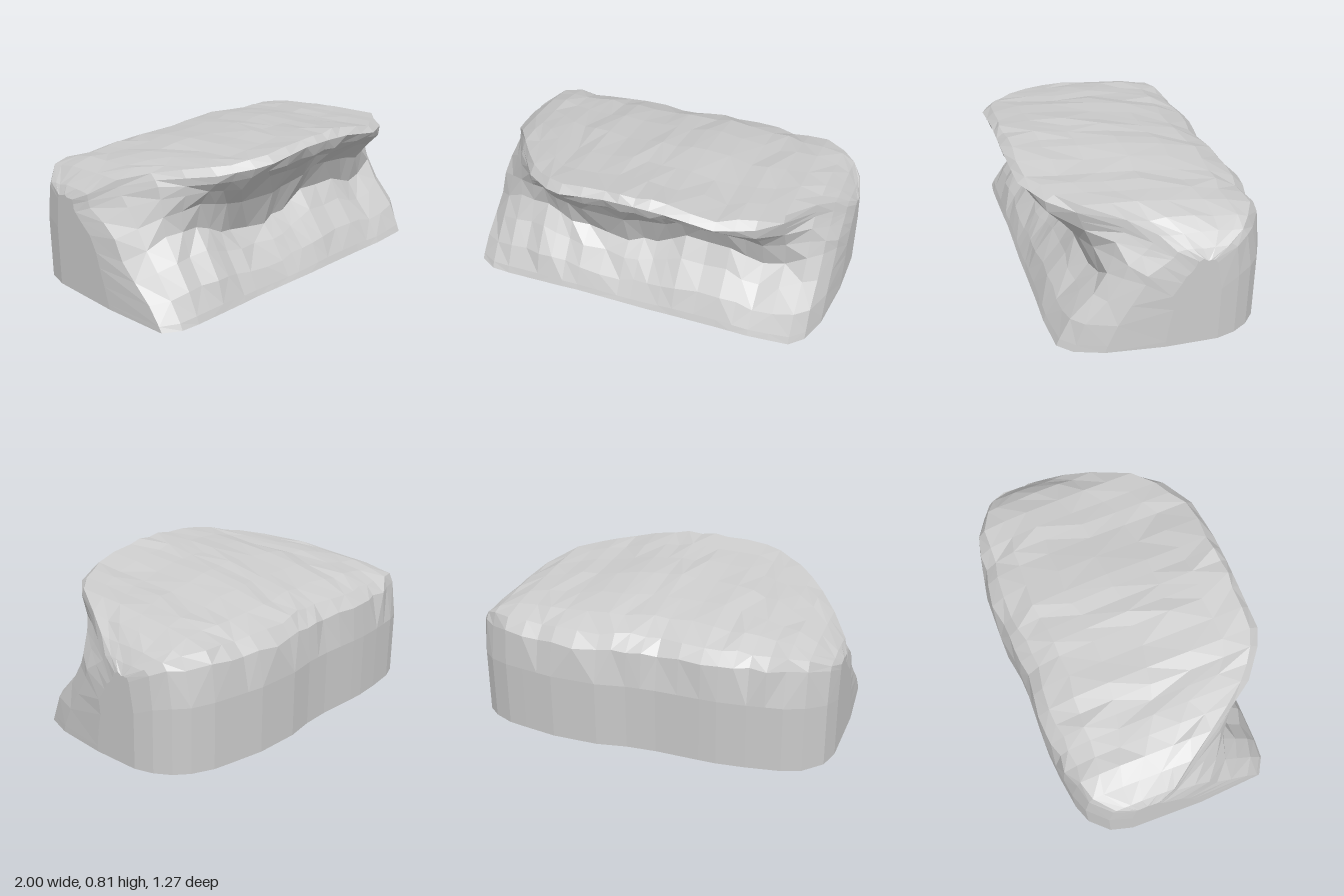
import * as THREE from 'three';

// Stations along x: x, back z, back rim y, crest y, lip z, notch z, notch y, foot z
const STATIONS = [
  [-1.00, -0.30, 0.49, 0.52, -0.16, 0.02, 0.28, 0.12],
  [-0.97, -0.42, 0.52, 0.56, -0.06, 0.20, 0.28, 0.49],
  [-0.88, -0.52, 0.54, 0.645, 0.07, 0.27, 0.33, 0.54],
  [-0.78, -0.56, 0.54, 0.70, 0.24, 0.31, 0.38, 0.545],
  [-0.60, -0.59, 0.54, 0.74, 0.49, 0.33, 0.40, 0.54],
  [-0.45, -0.605, 0.54, 0.77, 0.60, 0.34, 0.33, 0.535],
  [-0.36, -0.605, 0.54, 0.785, 0.635, 0.33, 0.31, 0.53],
  [-0.12, -0.60, 0.54, 0.81, 0.625, 0.32, 0.28, 0.53],
  [0.04, -0.61, 0.54, 0.81, 0.622, 0.31, 0.31, 0.53],
  [0.20, -0.64, 0.54, 0.80, 0.615, 0.30, 0.38, 0.525],
  [0.45, -0.64, 0.54, 0.755, 0.59, 0.29, 0.38, 0.52],
  [0.63, -0.61, 0.54, 0.735, 0.49, 0.28, 0.31, 0.52],
  [0.74, -0.59, 0.54, 0.715, 0.36, 0.26, 0.33, 0.51],
  [0.85, -0.54, 0.53, 0.66, 0.15, 0.23, 0.38, 0.50],
  [0.92, -0.48, 0.53, 0.60, 0.03, 0.17, 0.38, 0.43],
  [0.97, -0.40, 0.51, 0.535, -0.06, 0.09, 0.36, 0.28],
  [1.00, -0.30, 0.45, 0.48, -0.16, -0.06, 0.30, -0.02],
];

const mix = (a, b, t) => a + (b - a) * t;

// Repeatable noise in -1..1
function noise(i, j) {
  const s = Math.sin(i * 127.1 + j * 311.7) * 43758.5453;
  return 2 * (s - Math.floor(s)) - 1;
}

// Insert a halfway slice wherever neighbouring stations are far apart
function refine(stations) {
  const out = [];
  stations.forEach((s, i) => {
    out.push(s);
    const n = stations[i + 1];
    if (n && n[0] - s[0] > 0.12) out.push(s.map((v, k) => mix(v, n[k], 0.5)));
  });
  return out;
}

// Closed section: up the back, over the top, round the lip, into the hollow, out to the foot
function section([x, back, rim, crest, lip, notch, notchY, foot], i) {
  const lipY = crest - 0.035;
  const plateau = 1 - 0.65 * Math.abs(x) ** 3; // the top flattens towards the ends
  const top = (t, h) => [mix(back + 0.025, lip, t), mix(rim, crest, h ** plateau)];
  const hollow = (t, h) => [mix(lip, notch, t), mix(lipY, notchY, h)];
  const slope = (t, h) => [mix(notch, foot, t), notchY * h];
  const points = [
    [back + 0.006, 0], [back, rim * 0.66], top(0, 0),
    top(0.05, 0.26), top(0.16, 0.48), top(0.31, 0.65), top(0.5, 0.77),
    top(0.68, 0.85), top(0.83, 0.92), top(0.965, 1),
    [lip, lipY], hollow(0.1, 0.13), hollow(0.42, 0.32), hollow(0.77, 0.6),
    [notch, notchY], slope(0.33, 0.72), slope(0.72, 0.4), slope(0.94, 0.1), [foot, 0],
  ];
  return points.map(([z, y], j) => {
    const rough = j > 1 && j !== 10 && j < 17 ? 1 : 0;
    return [x, y + rough * 0.009 * noise(i, j), z + rough * 0.014 * noise(i + 40, j)];
  });
}

function rockGeometry() {
  const rings = refine(STATIONS).map(section);
  const count = rings[0].length;
  const pos = [];
  const tri = (a, b, c) => pos.push(...a, ...b, ...c);

  // Skin between neighbouring sections, alternating the diagonals
  for (let i = 0; i < rings.length - 1; i++) {
    for (let j = 0; j < count; j++) {
      const k = (j + 1) % count;
      const a = rings[i][j], b = rings[i][k], c = rings[i + 1][k], d = rings[i + 1][j];
      if (noise(i, j + 90) > 0) { tri(a, b, c); tri(a, c, d); }
      else { tri(a, b, d); tri(b, c, d); }
    }
  }

  // End walls
  const cap = (ring, flip) => {
    const mid = [0, 1, 2].map((k) => ring.reduce((s, p) => s + p[k], 0) / count);
    ring.forEach((p, j) => {
      const q = ring[(j + 1) % count];
      if (flip) tri(mid, q, p); else tri(mid, p, q);
    });
  };
  cap(rings[0], true);
  cap(rings[rings.length - 1], false);

  const geometry = new THREE.BufferGeometry();
  geometry.setAttribute('position', new THREE.Float32BufferAttribute(pos, 3));
  geometry.computeVertexNormals();
  return geometry;
}

export function createModel() {
  const group = new THREE.Group();
  group.name = 'overhangingRock';
  const material = new THREE.MeshStandardMaterial({ color: 0xcccccc, flatShading: true });
  const rock = new THREE.Mesh(rockGeometry(), material);
  rock.name = 'rock';
  group.add(rock);
  return group;
}
